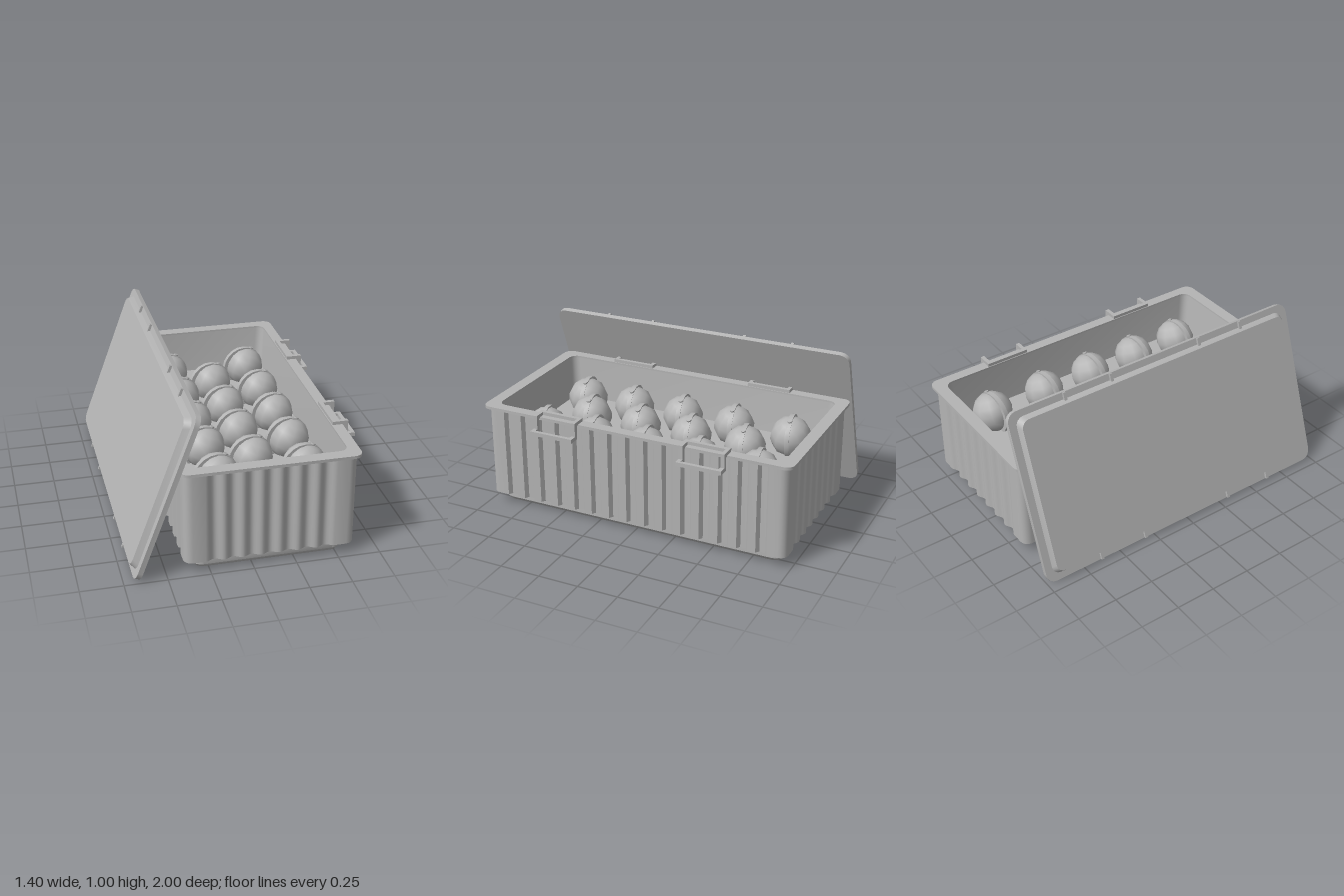
import * as THREE from 'three';
import { toCreasedNormals } from 'three/addons/utils/BufferGeometryUtils.js';

const plastic = new THREE.MeshStandardMaterial({ color: 0xb4b4b4 });
plastic.name = 'greyPlastic';

const CENTRE_X = 0.1; // the crate sits off centre, with the lid leaning beside it

function add(parent, name, geometry, x = 0, y = 0, z = 0) {
  const mesh = new THREE.Mesh(geometry, plastic);
  mesh.name = name;
  mesh.position.set(x, y, z);
  parent.add(mesh);
  return mesh;
}

function box(parent, name, x0, x1, y0, y1, z0, z1) {
  return add(parent, name, new THREE.BoxGeometry(x1 - x0, y1 - y0, z1 - z0),
    (x0 + x1) / 2, (y0 + y1) / 2, (z0 + z1) / 2);
}

// Corner-rounded rectangle as [x, z] points
function roundedRect(hx, hz, r, steps = 4) {
  const points = [];
  [[1, 1], [-1, 1], [-1, -1], [1, -1]].forEach(([sx, sz], c) => {
    for (let i = 0; i <= steps; i++) {
      const a = (c + i / steps) * Math.PI / 2;
      points.push([sx * (hx - r) + r * Math.cos(a), sz * (hz - r) + r * Math.sin(a)]);
    }
  });
  return points;
}

// Skin stacked rounded rectangles [y, halfX, halfZ, radius]; flags close the two ends
function loft(sections, capStart, capEnd) {
  const rings = sections.map(([y, hx, hz, r]) =>
    roundedRect(hx, hz, r).map(([x, z]) => [x, y, z]));
  const out = [];
  const n = rings[0].length;
  const first = rings[0], last = rings[rings.length - 1];
  for (let i = 0; i < n; i++) {
    const j = (i + 1) % n;
    for (let k = 0; k + 1 < rings.length; k++) {
      const p = rings[k], q = rings[k + 1];
      out.push(...p[i], ...q[i], ...p[j], ...q[i], ...q[j], ...p[j]);
    }
    if (capStart) out.push(0, first[0][1], 0, ...first[i], ...first[j]);
    if (capEnd) out.push(0, last[0][1], 0, ...last[j], ...last[i]);
  }
  const geometry = new THREE.BufferGeometry();
  geometry.setAttribute('position', new THREE.Float32BufferAttribute(out, 3));
  geometry.computeVertexNormals();
  return toCreasedNormals(geometry, 0.6);
}

// Upright extrusion of an outline with a rounded rectangular opening
function frame(outline, opening, height) {
  const shape = new THREE.Shape(outline.map(([x, y]) => new THREE.Vector2(x, y)));
  shape.holes.push(new THREE.Path(opening.map(([x, y]) => new THREE.Vector2(x, y)).reverse()));
  const geometry = new THREE.ExtrudeGeometry(shape, { depth: height, bevelEnabled: false });
  geometry.rotateX(-Math.PI / 2);
  return toCreasedNormals(geometry, 0.55);
}

// Crate outline: trapezoid grooves on the long sides, soft waves on the ends
function flutedOutline(hx, hz, r) {
  const half = [];
  for (let k = -7; k <= 7; k++) {
    const c = k * 0.118;
    half.push([hx, c - 0.034], [hx - 0.024, c - 0.018], [hx - 0.024, c + 0.018], [hx, c + 0.034]);
  }
  for (let i = 0; i <= 4; i++) {
    const a = i / 4 * Math.PI / 2;
    half.push([hx - r + r * Math.cos(a), hz - r + r * Math.sin(a)]);
  }
  const pitch = 0.108, steps = 8, count = 7;
  for (let i = 0; i <= count * steps; i++) {
    const x = (count / 2 - i / steps) * pitch;
    half.push([x, hz - 0.011 * (1 - Math.cos(i / steps * Math.PI * 2))]);
  }
  for (let i = 0; i <= 4; i++) {
    const a = (1 + i / 4) * Math.PI / 2;
    half.push([-hx + r + r * Math.cos(a), hz - r + r * Math.sin(a)]);
  }
  // Half a turn repeats the other long side and end; shared corners are skipped
  const start = half.slice(0, -5);
  const turn = (p) => p.map(([x, y]) => [-x, -y]);
  return [...start, ...half.slice(-5), ...turn(start), ...turn(half.slice(-5))];
}

function buildCrate() {
  const crate = new THREE.Group();
  crate.name = 'crate';
  crate.position.x = CENTRE_X;
  const opening = roundedRect(0.455, 0.925, 0.05);
  add(crate, 'flutedWalls', frame(flutedOutline(0.5, 0.975, 0.05), opening, 0.57), 0, 0.08);
  add(crate, 'rim', frame(roundedRect(0.52, 1, 0.05), opening, 0.018), 0, 0.648);
  add(crate, 'innerTray', loft([
    [0.655, 0.455, 0.925, 0.05],
    [0.39, 0.436, 0.9, 0.05],
  ], false, true));
  add(crate, 'base', loft([
    [0.012, 0.425, 0.915, 0.05],
    [0.035, 0.443, 0.93, 0.06],
    [0.079, 0.443, 0.93, 0.06],
    [0.079, 0.465, 0.94, 0.06],
    [0.085, 0.465, 0.94, 0.06],
  ], true, true));

  // Latches: stepped arms joined by bars, two on each long side
  for (const side of [1, -1]) {
    for (const z of [0.475, -0.475]) {
      const latch = new THREE.Group();
      latch.name = 'latch';
      latch.position.z = z;
      latch.rotation.y = side > 0 ? 0 : Math.PI;
      for (const s of [1, -1]) {
        const z0 = s * 0.128 - 0.012, z1 = s * 0.128 + 0.012;
        box(latch, 'latchTopArm', 0.46, 0.555, 0.66, 0.686, z0, z1);
        box(latch, 'latchDrop', 0.53, 0.555, 0.578, 0.66, z0, z1);
        box(latch, 'latchLowerArm', 0.555, 0.6, 0.578, 0.602, z0, z1);
      }
      box(latch, 'latchTopBar', 0.46, 0.485, 0.66, 0.686, -0.116, 0.116);
      box(latch, 'latchPullBar', 0.577, 0.6, 0.578, 0.602, -0.116, 0.116);
      crate.add(latch);
    }
  }
  return crate;
}

function buildLid() {
  const lid = new THREE.Group();
  lid.name = 'lid';
  add(lid, 'lidFlange', loft([
    [0, 0.525, 1, 0.06],
    [0.03, 0.525, 1, 0.06],
  ], true, true));
  add(lid, 'lidPanel', loft([
    [0.028, 0.485, 0.955, 0.05],
    [0.066, 0.467, 0.938, 0.05],
  ], false, true));
  // Small ribs across the flange where the latches meet it
  for (const s of [1, -1]) {
    for (const z of [-0.63, -0.315, 0.315, 0.63]) {
      box(lid, 'lidRib', s * 0.5 - 0.024, s * 0.5 + 0.024, 0.028, 0.045, z - 0.009, z + 0.009);
    }
  }
  // Leans against the crate's rim
  lid.rotation.z = 1.216;
  lid.position.set(-0.48, 0.502, 0);
  return lid;
}

function buildBalls() {
  const balls = new THREE.Group();
  balls.name = 'balls';
  const sphere = new THREE.SphereGeometry(0.127, 10, 8);
  const button = new THREE.CylinderGeometry(0.014, 0.014, 0.012, 10);
  const profile = [[0.115, -0.014], [0.138, -0.014], [0.138, 0.014], [0.115, 0.014]]
    .map(([x, y]) => new THREE.Vector2(x, y));
  const band = toCreasedNormals(new THREE.LatheGeometry(profile, 20), 0.6);
  band.rotateX(Math.PI / 2);

  const place = (x, z) => {
    const ball = new THREE.Group();
    ball.name = 'ball';
    ball.position.set(x, 0.48, z);
    ball.rotation.set(0, 0.14, -0.4);
    add(ball, 'ballShell', sphere);
    add(ball, 'ballBand', band, -0.008, -0.008);
    add(ball, 'ballButton', button, 0, 0.13);
    balls.add(ball);
  };
  for (const z of [-0.71, -0.335, 0.015, 0.36, 0.7]) {
    place(-0.15, z);
    place(0.37, z);
  }
  for (const z of [-0.51, -0.155, 0.19, 0.535]) place(0.097, z);
  return balls;
}

export function createModel() {
  const model = new THREE.Group();
  model.name = 'crateOfBalls';
  model.add(buildCrate(), buildLid(), buildBalls());
  return model;
}
